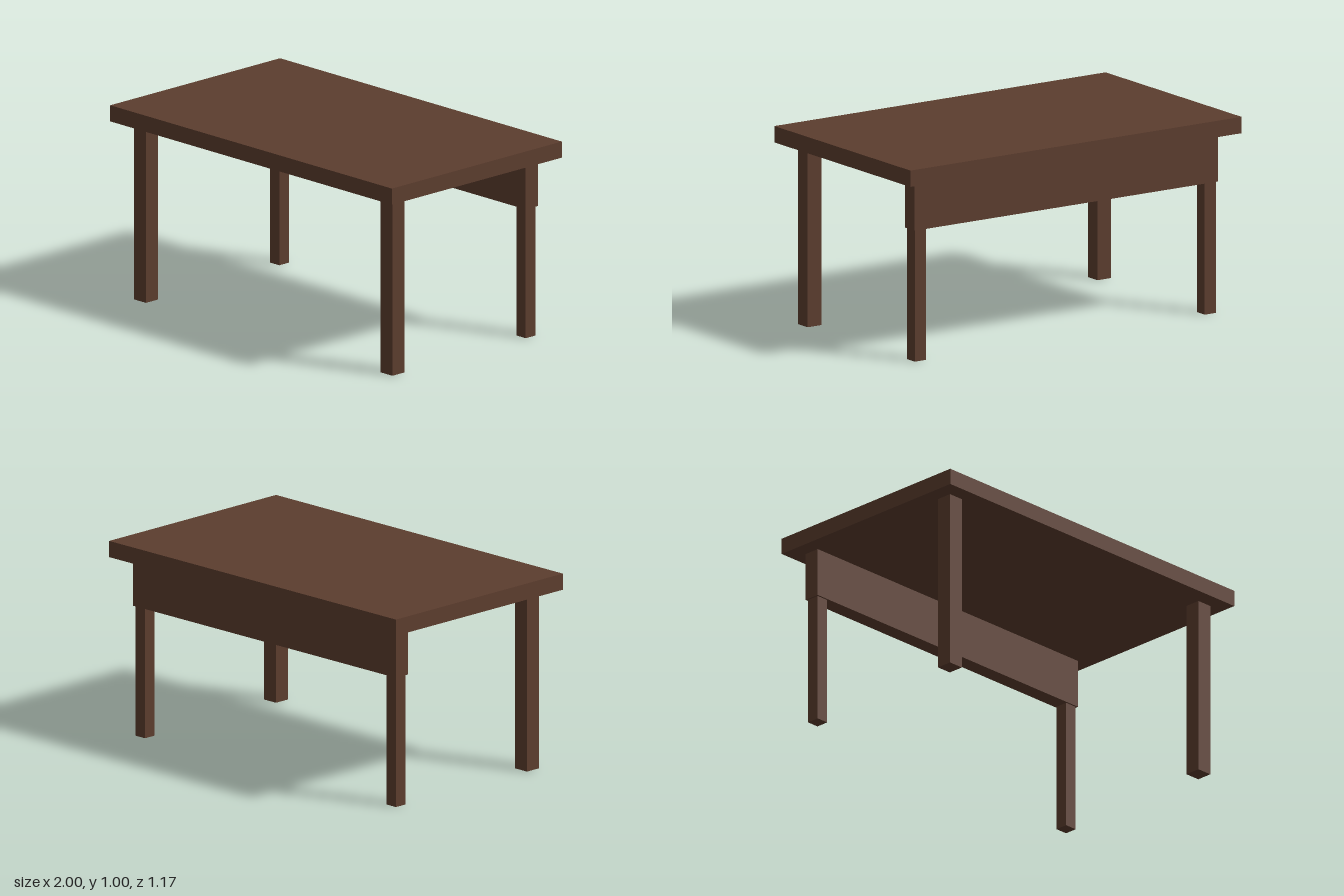
import * as THREE from 'three';

export function createModel() {
  const group = new THREE.Group();
  group.name = 'table';

  const wood = new THREE.MeshStandardMaterial({ color: 0x5c3d2e });
  wood.name = 'dark brown wood';

  // Box standing on height y, centred on x and z
  function addBox(name, [w, h, d], [x, y, z]) {
    const mesh = new THREE.Mesh(new THREE.BoxGeometry(w, h, d), wood);
    mesh.name = name;
    mesh.position.set(x, y + h / 2, z);
    group.add(mesh);
  }

  const topBottom = 0.917;
  const legX = 0.875;
  const legZ = 0.458;
  const apronBottom = 0.667;

  addBox('tableTop', [2, 1 - topBottom, 1.167], [0, topBottom, 0]);

  // Deep apron across the back, carried by the back legs
  addBox('backApron', [1.833, topBottom - apronBottom, 0.083], [0, apronBottom, -legZ]);

  // Full-height front legs, shorter and slimmer back legs
  for (const [side, sx] of [['left', 1], ['right', -1]]) {
    addBox(`${side}FrontLeg`, [0.083, topBottom, 0.083], [sx * legX, 0, legZ]);
    addBox(`${side}BackLeg`, [0.067, apronBottom, 0.067], [sx * legX, 0, -legZ]);
  }

  return group;
}
